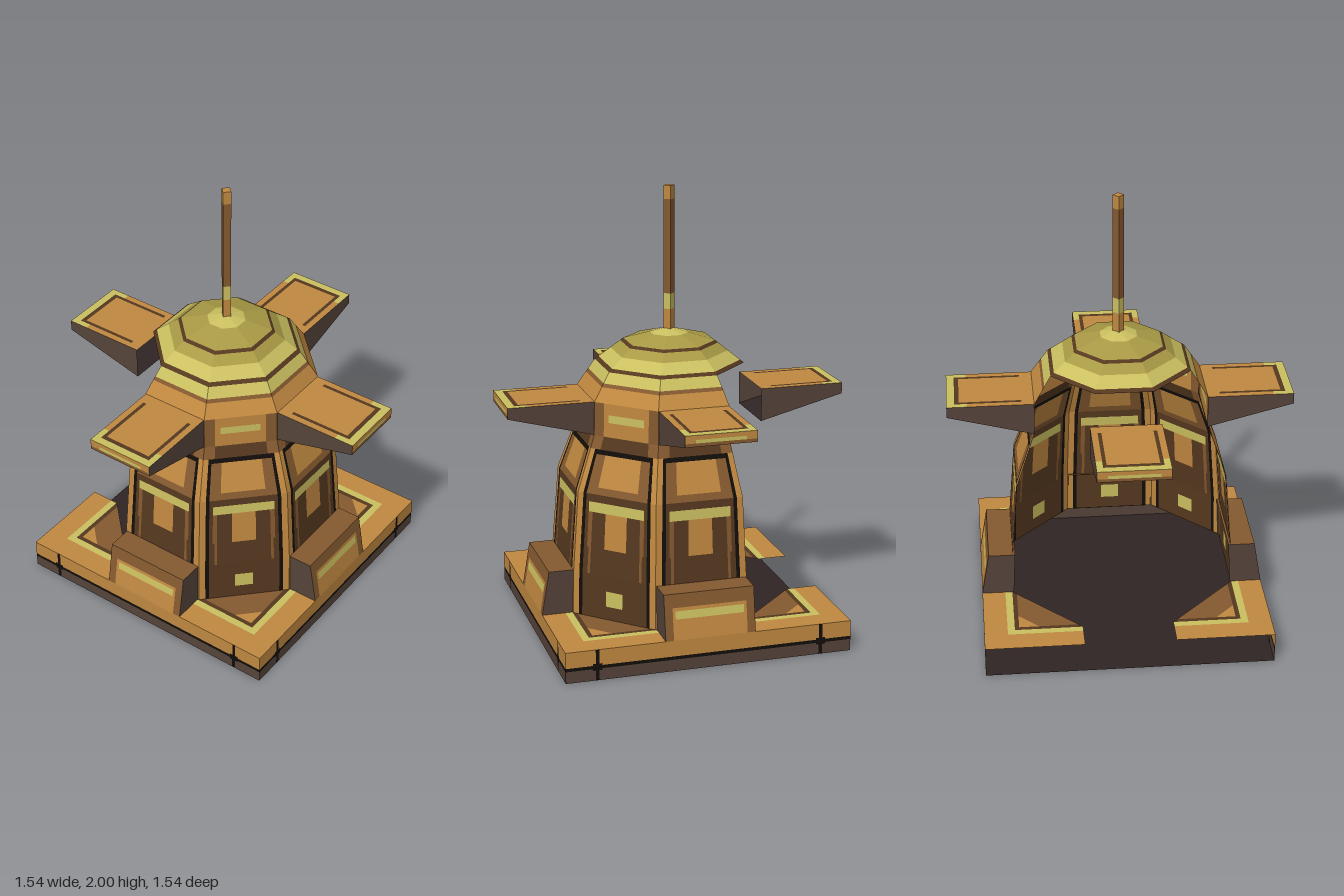
import * as THREE from 'three';

const mat = (name, color) => {
  const m = new THREE.MeshStandardMaterial({ color, side: THREE.DoubleSide });
  m.name = name;
  return m;
};

export function createModel() {
  const orange = mat('ochre', 0xc08840), yellow = mat('pale yellow', 0xcabf60), olive = mat('olive', 0xa89a45);
  const brown = mat('brown', 0x84592f), dark = mat('dark brown', 0x55381f), black = mat('black', 0x120d09);
  const slate = mat('grey brown', 0x55433a), floorDark = mat('floor dark', 0x2f2423);

  const model = new THREE.Group();
  model.name = 'domedTower';

  // Turns a list of [material, a, b, c, d] quads into one flat-shaded mesh per material.
  function patchGroup(name, quads, turn = 0) {
    const byMat = new Map();
    for (const [m, a, b, c, d] of quads) {
      if (!byMat.has(m)) byMat.set(m, []);
      byMat.get(m).push(...a, ...b, ...c, ...a, ...c, ...d);
    }
    const g = new THREE.Group();
    g.name = name;
    for (const [m, pos] of byMat) {
      const geo = new THREE.BufferGeometry();
      geo.setAttribute('position', new THREE.Float32BufferAttribute(pos, 3));
      geo.computeVertexNormals();
      const mesh = new THREE.Mesh(geo, m);
      mesh.name = `${name} ${m.name}`;
      g.add(mesh);
    }
    g.rotation.y = turn * Math.PI / 4;
    model.add(g);
  }

  // Rows [y0, y1, material, u, material, u ...]: mirrored bands out to fraction u of the half width.
  function grid(rows, half, depth) {
    const quads = [];
    const p = (u, y) => [u * half(y), y, depth(y)];
    const cell = (m, y0, y1, u0, u1) => quads.push([m, p(u0, y0), p(u1, y0), p(u1, y1), p(u0, y1)]);
    for (const [y0, y1, ...cols] of rows) {
      let prev = 0;
      for (let i = 0; i < cols.length; i += 2) {
        const m = cols[i], u = cols[i + 1];
        if (prev === 0) cell(m, y0, y1, -u, u);
        else {
          cell(m, y0, y1, prev, u);
          cell(m, y0, y1, -u, -prev);
        }
        prev = u;
      }
    }
    return quads;
  }

  // Apothem of the octagonal body and dome at each height
  const profile = [[0.14, 0.505], [0.34, 0.5], [0.7, 0.472], [0.94, 0.388], [1.09, 0.385], [1.21, 0.31], [1.31, 0.19], [1.367, 0]];
  const apothem = (y) => {
    for (let i = 1; i < profile.length; i++) {
      const [y0, a0] = profile[i - 1], [y1, a1] = profile[i];
      if (y <= y1) return a0 + (a1 - a0) * (y - y0) / (y1 - y0);
    }
    return 0;
  };
  const facetHalf = (y) => apothem(y) * Math.tan(Math.PI / 8);

  // Body walls: five facets, open at the back
  const edge = [black, 0.86, orange, 1];
  const wallRows = [
    [0.14, 0.2, dark, 0.78, ...edge],
    [0.2, 0.27, yellow, 0.2, dark, 0.78, ...edge],
    [0.27, 0.34, dark, 0.78, ...edge],
    [0.34, 0.46, dark, 0.6, brown, 0.66, dark, 0.78, ...edge],
    [0.46, 0.62, orange, 0.27, dark, 0.6, brown, 0.7, dark, 0.78, ...edge],
    [0.62, 0.665, yellow, 0.7, dark, 0.78, ...edge],
    [0.665, 0.7, dark, 0.78, ...edge],
    [0.7, 0.73, brown, 0.78, ...edge],
    [0.73, 0.865, orange, 0.52, brown, 0.78, ...edge],
    [0.865, 0.885, black, 0.86, orange, 1],
    [0.885, 0.94, dark, 0.7, brown, 1],
    [0.94, 1.005, orange, 0.7, brown, 1],
    [1.005, 1.04, yellow, 0.55, orange, 0.7, brown, 1],
    [1.04, 1.09, orange, 0.7, brown, 1],
    [1.09, 1.15, orange, 1],
    [1.15, 1.165, brown, 1],
    [1.165, 1.21, yellow, 1],
  ];
  for (let k = -2; k <= 2; k++) patchGroup('bodyWall', grid(wallRows, facetHalf, apothem), k);

  // Dome cap: eight full facets
  const domeRows = [
    [1.21, 1.223, dark, 1], [1.223, 1.265, yellow, 1], [1.265, 1.299, olive, 1],
    [1.299, 1.31, dark, 1], [1.31, 1.343, olive, 1], [1.343, 1.367, yellow, 1],
  ];
  for (let k = 0; k < 8; k++) patchGroup('domeCap', grid(domeRows, facetHalf, apothem), k);

  // Antenna: four-sided mast in coloured lengths
  for (const [y0, y1, m] of [[1.35, 1.45, orange], [1.45, 1.52, yellow], [1.52, 1.94, brown], [1.94, 2, orange]]) {
    const mast = new THREE.Mesh(new THREE.CylinderGeometry(0.025, 0.025, y1 - y0, 4).toNonIndexed(), m);
    mast.geometry.computeVertexNormals();
    mast.position.y = (y0 + y1) / 2;
    mast.name = 'antenna';
    model.add(mast);
  }

  // Fins: tapering slabs with a bordered top, on all four sides
  const W = 0.157, IN = 0.385, OUT = 0.77, TOP = 1.09, TIP = 1.04, LOW = 0.94;
  const finQuads = [];
  const flat = (m, x0, x1, z0, z1) => finQuads.push([m, [x0, TOP, z0], [x0, TOP, z1], [x1, TOP, z1], [x1, TOP, z0]]);
  flat(orange, -0.112, 0.112, IN, 0.715);
  flat(dark, -0.128, 0.128, 0.715, 0.735);
  flat(yellow, -W, W, 0.735, OUT);
  for (const s of [-1, 1]) {
    flat(dark, s * 0.112, s * 0.128, 0.44, 0.715);
    flat(orange, s * 0.112, s * 0.128, IN, 0.44);
    flat(yellow, s * 0.128, s * W, 0.68, 0.735);
    flat(orange, s * 0.128, s * W, IN, 0.68);
    finQuads.push([slate, [s * W, LOW, IN], [s * W, TIP, OUT], [s * W, TOP, OUT], [s * W, TOP, IN]]);
  }
  finQuads.push([floorDark, [-W, LOW, IN], [W, LOW, IN], [W, TIP, OUT], [-W, TIP, OUT]]);
  const tipRows = [[TIP, 1.055, brown, 1], [1.055, 1.07, yellow, 0.7, orange, 1], [1.07, TOP, orange, 1]];
  finQuads.push(...grid(tipRows, () => W, () => OUT));
  for (let k = 0; k < 8; k += 2) patchGroup('fin', finQuads, k);

  // Buttresses: sloped blocks on the front and both sides
  const B = 0.203, slope = (y) => 0.645 - 0.17 * (y - 0.14);
  const buttressQuads = grid([
    [0.14, 0.23, orange, 0.82, brown, 1],
    [0.23, 0.265, yellow, 0.76, orange, 0.82, brown, 1],
    [0.265, 0.28, orange, 0.82, brown, 1],
    [0.28, 0.34, brown, 1],
  ], () => B, slope);
  buttressQuads.push([brown, [-B, 0.34, 0.49], [-B, 0.34, slope(0.34)], [B, 0.34, slope(0.34)], [B, 0.34, 0.49]]);
  for (const x of [-B, B]) {
    buttressQuads.push([slate, [x, 0.14, 0.5], [x, 0.14, 0.645], [x, 0.34, slope(0.34)], [x, 0.34, 0.49]]);
  }
  for (const k of [-2, 0, 2]) patchGroup('buttress', buttressQuads, k);

  // Base walls on three sides, with dark seams
  const baseRows = [
    [0, 0.045, slate, 0.77, black, 0.795, slate, 1],
    [0.045, 0.053, slate, 0.75, black, 0.815, slate, 1],
    [0.053, 0.068, black, 1],
    [0.068, 0.076, orange, 0.75, black, 0.815, orange, 1],
    [0.076, 0.14, orange, 0.77, black, 0.795, orange, 1],
  ];
  const E = 0.645;
  for (const k of [-2, 0, 2]) patchGroup('baseWall', grid(baseRows, () => E, () => E), k);
  patchGroup('floor', [[floorDark, [-E, 0, -E], [-E, 0, E], [E, 0, E], [E, 0, -E]]]);

  // Base top: four corner plates made of nested L bands around the octagon
  const ell = (outer, inner, cut = B) => [[B, outer], [outer, outer], [outer, B], [inner, cut], [inner, inner], [cut, inner]];
  const cornerParts = [
    [orange, ell(E, 0.54)],
    [yellow, ell(0.54, 0.508)],
    [dark, ell(0.508, 0.488, 0.222)],
    [brown, [[0.222, 0.488], [0.4, 0.488], [0.488, 0.4], [0.488, 0.222]]],
    [orange, [[0.4, 0.488], [0.488, 0.488], [0.488, 0.4]]],
  ];
  for (const [m, pts] of cornerParts) {
    const shape = new THREE.Shape(pts.map(([x, z]) => new THREE.Vector2(x, z)));
    const geo = new THREE.ShapeGeometry(shape).rotateX(Math.PI / 2).translate(0, 0.14, 0);
    for (let k = 0; k < 4; k++) {
      const plate = new THREE.Mesh(geo, m);
      plate.rotation.y = k * Math.PI / 2;
      plate.name = 'baseTopCorner';
      model.add(plate);
    }
  }
  return model;
}
